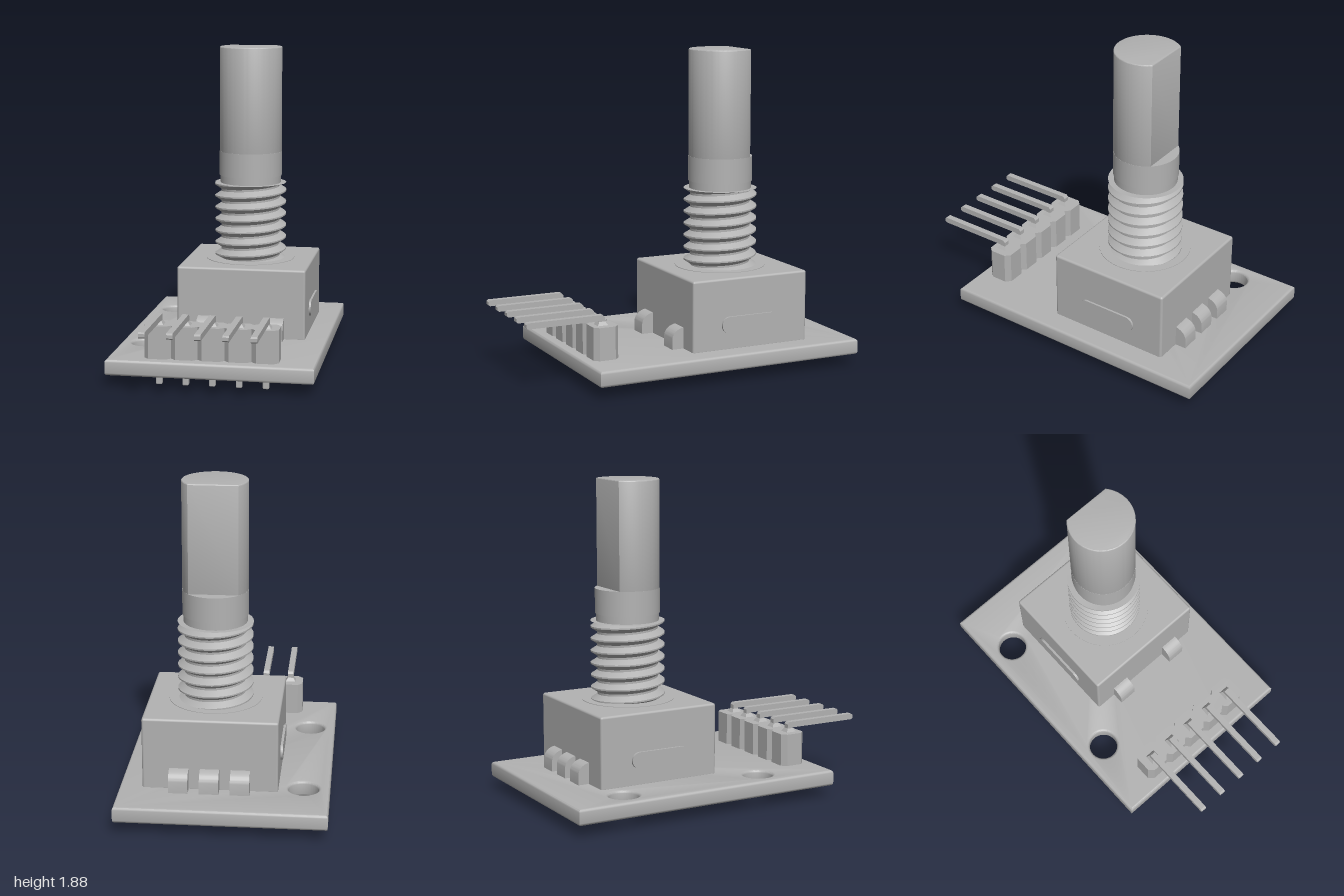
import * as THREE from 'three';
import { toCreasedNormals } from 'three/addons/utils/BufferGeometryUtils.js';
import { RoundedBoxGeometry } from 'three/addons/geometries/RoundedBoxGeometry.js';

const gray = new THREE.MeshStandardMaterial({ color: 0xb2b2b2 });
gray.name = 'gray';

const CX = 0.08, CZ = -0.34; // shaft axis

function add(parent, name, geometry, x = 0, y = 0, z = 0) {
  const mesh = new THREE.Mesh(geometry, gray);
  mesh.name = name;
  mesh.position.set(x, y, z);
  parent.add(mesh);
  return mesh;
}

// Box given by its limits, with softened edges
function box(parent, name, x0, x1, y0, y1, z0, z1, r = 0.006) {
  return add(parent, name, new RoundedBoxGeometry(x1 - x0, y1 - y0, z1 - z0, 2, r),
    (x0 + x1) / 2, (y0 + y1) / 2, (z0 + z1) / 2);
}

// Upright prism from a plan shape (shape y runs towards the back)
function prism(shape, y0, y1, bevel) {
  const g = new THREE.ExtrudeGeometry(shape, {
    depth: y1 - y0 - 2 * bevel, bevelEnabled: bevel > 0, bevelThickness: bevel,
    bevelSize: bevel, bevelOffset: -bevel, bevelSegments: 3, curveSegments: 48,
  });
  g.translate(0, 0, y0 + bevel).rotateX(-Math.PI / 2);
  return toCreasedNormals(g, 0.6);
}

// Side profile (z, y) extruded across x, centred on x = 0
function across(shape, width) {
  const g = new THREE.ExtrudeGeometry(shape, { depth: width, bevelEnabled: false, curveSegments: 16 });
  g.translate(0, 0, -width / 2).rotateY(-Math.PI / 2);
  return toCreasedNormals(g, 0.6);
}

function boardGeometry() {
  const s = new THREE.Shape();
  const pts = [[-0.6, -0.67], [0.597, -0.67], [0.597, 1], [-0.6, 1]];
  s.setFromPoints(pts.map(([x, y]) => new THREE.Vector2(x, y)));
  for (const z of [-0.65, 0.235]) {
    s.holes.push(new THREE.Path().absarc(-0.45, -z, 0.087, 0, Math.PI * 2, true));
  }
  return prism(s, 0.068, 0.162, 0.016);
}

// Helical thread: a tooth profile swept round the axis, trimmed at both ends
function threadGeometry(y0, y1, pitch, root, crest) {
  const profile = [[root, 0], [root, 0.12], [crest, 0.5], [crest, 0.62], [root, 1]];
  const seg = 48, steps = Math.ceil((y1 - y0) / pitch + 1) * seg, n = profile.length;
  const pos = [], index = [];
  for (let i = 0; i <= steps; i++) {
    const a = (i / seg) * Math.PI * 2;
    for (const [r, t] of profile) {
      const y = y0 + pitch * (i / seg - 1 + t);
      pos.push(r * Math.sin(a), Math.min(y1, Math.max(y0, y)), r * Math.cos(a));
    }
  }
  for (let i = 0; i < steps; i++) {
    for (let j = 0; j < n - 1; j++) {
      const a = i * n + j, b = a + n;
      index.push(a, b, b + 1, a, b + 1, a + 1);
    }
  }
  const g = new THREE.BufferGeometry();
  g.setAttribute('position', new THREE.Float32BufferAttribute(pos, 3));
  g.setIndex(index);
  return toCreasedNormals(g, 0.4);
}

function buildEncoder(group) {
  box(group, 'encoderBody', -0.308, 0.466, 0.15, 0.582, -0.717, 0.033, 0.014);
  add(group, 'bushingBase', new THREE.CylinderGeometry(0.27, 0.27, 0.008, 48), CX, 0.581, CZ);

  // Long oval bosses on both sides
  const slot = new THREE.Shape();
  slot.absarc(-0.2, 0.307, 0.048, -Math.PI / 2, Math.PI / 2, false);
  slot.absarc(-0.475, 0.307, 0.048, Math.PI / 2, Math.PI * 1.5, false);
  add(group, 'sideBosses', across(slot, 0.8), 0.078);

  // Threaded bushing
  add(group, 'bushingCore', new THREE.CylinderGeometry(0.179, 0.179, 0.47, 48), CX, 0.815, CZ);
  add(group, 'thread', threadGeometry(0.582, 1.05, 0.072, 0.176, 0.218), CX, 0, CZ);

  // Shaft with a flat cut into its back
  add(group, 'shaftNeck', new THREE.CylinderGeometry(0.184, 0.184, 0.07, 48), CX, 1.07, CZ);
  add(group, 'shaftBase', new THREE.CylinderGeometry(0.19, 0.19, 0.147, 64), CX, 1.1685, CZ);
  const r = 0.189, a = Math.asin(0.125 / r);
  const d = new THREE.Shape().absarc(0, 0, r, Math.PI - a, Math.PI * 2 + a, false);
  d.closePath();
  add(group, 'shaft', prism(d, 1.225, 1.877, 0.006), CX, 0, CZ);

  // Solder legs: rounded shoulder above the board, tip below it
  const shoulder = new THREE.Shape();
  shoulder.moveTo(-0.02, 0.15);
  shoulder.lineTo(0.072, 0.15);
  shoulder.lineTo(0.072, 0.222);
  shoulder.quadraticCurveTo(0.066, 0.276, 0, 0.288);
  shoulder.lineTo(-0.02, 0.288);
  shoulder.closePath();
  const leg = across(shoulder, 0.11);
  const legs = [[-0.125, 1], [0.285, 1], [-0.095, -1], [0.08, -1], [0.255, -1]];
  for (const [x, side] of legs) {
    const z = side > 0 ? 0.033 : -0.712;
    const m = add(group, 'encoderLeg', leg, x, 0, z);
    if (side < 0) m.rotation.y = Math.PI;
    const tipZ = z + side * 0.042;
    box(group, 'encoderLegTip', x - 0.05, x + 0.05, 0, 0.09, tipZ - 0.031, tipZ + 0.031, 0.012);
  }
}

function buildHeader(group) {
  const pitch = 0.1545, half = pitch / 2, c = 0.028;
  const xs = [-2, -1, 0, 1, 2].map((i) => i * pitch);
  // Chamfered outline of the five joined blocks
  const front = xs.flatMap((x) => [[x - half, -0.61 + c], [x - half + c, -0.61],
    [x + half - c, -0.61], [x + half, -0.61 + c]]);
  const back = front.map(([x, y]) => [x, -1.067 - y]).reverse();
  const pts = [...front, ...back].filter((p, i, all) =>
    i === 0 || Math.hypot(p[0] - all[i - 1][0], p[1] - all[i - 1][1]) > 1e-4);
  const outline = new THREE.Shape(pts.map(([x, y]) => new THREE.Vector2(x, y)));
  add(group, 'headerBlock', prism(outline, 0.15, 0.354, 0));

  // Right-angle pins
  const bend = new THREE.Shape();
  [[0.525, 0.33], [0.56, 0.33], [0.56, 0.378], [0.99, 0.378], [1, 0.386], [1, 0.405],
    [0.99, 0.413], [0.537, 0.413], [0.525, 0.4]].forEach(([z, y], i) =>
    (i ? bend.lineTo(z, y) : bend.moveTo(z, y)));
  bend.closePath();
  const pin = across(bend, 0.036);
  for (const x of xs) {
    add(group, 'headerPin', pin, x);
    const foot = add(group, 'pinCollar',
      new THREE.CylinderGeometry(0.025, 0.045, 0.022, 4).rotateY(Math.PI / 4), x, 0.364, 0.542);
    foot.geometry = toCreasedNormals(foot.geometry, 0.3);
    box(group, 'pinTip', x - 0.018, x + 0.018, 0, 0.09, 0.524, 0.56, 0.007);
  }
}

// Small surface parts under the board
function buildChips(group) {
  box(group, 'smallChipCap', 0.18, 0.3, 0.054, 0.075, -0.07, 0.03);
  box(group, 'smallChipCap', 0.18, 0.3, 0.054, 0.075, -0.23, -0.14);
  for (const [z0, z1] of [[-0.39, -0.27], [-0.61, -0.49]]) {
    box(group, 'chipBody', 0.06, 0.18, 0.045, 0.075, z0 + 0.005, z1 - 0.005);
    box(group, 'chipCap', 0.03, 0.07, 0.036, 0.075, z0, z1);
    box(group, 'chipCap', 0.17, 0.21, 0.036, 0.075, z0, z1);
  }
}

export function createModel() {
  const model = new THREE.Group();
  model.name = 'rotaryEncoderModule';
  add(model, 'circuitBoard', boardGeometry());
  const parts = { encoder: buildEncoder, pinHeader: buildHeader, undersideChips: buildChips };
  for (const [name, build] of Object.entries(parts)) {
    const g = new THREE.Group();
    g.name = name;
    build(g);
    model.add(g);
  }
  model.position.z = 0;
  return model;
}
